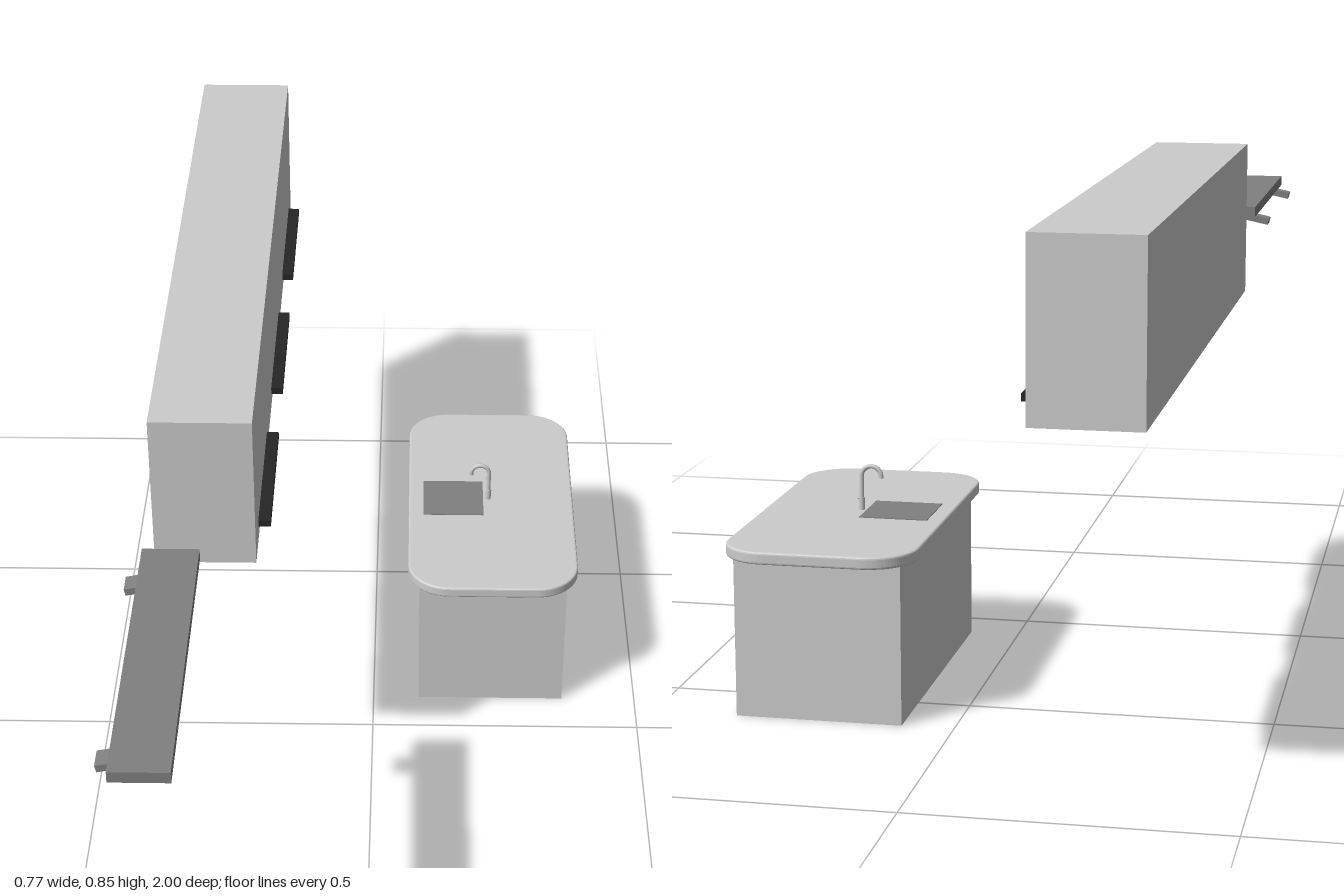
import * as THREE from 'three';

const mat = (name, color) => {
  const m = new THREE.MeshStandardMaterial({ color });
  m.name = name;
  return m;
};

export function createModel() {
  const light = mat('light grey', 0xcccccc);
  const grey = mat('mid grey', 0x808080);
  const dark = mat('near black', 0x262626);
  const model = new THREE.Group();
  model.name = 'kitchen';

  const add = (parent, name, geometry, material, x = 0, y = 0, z = 0) => {
    const mesh = new THREE.Mesh(geometry, material);
    mesh.name = name;
    mesh.position.set(x, y, z);
    parent.add(mesh);
    return mesh;
  };
  // Box given by its limits on each axis
  const box = (parent, name, material, [x0, x1], [y0, y1], [z0, z1]) =>
    add(parent, name, new THREE.BoxGeometry(x1 - x0, y1 - y0, z1 - z0), material,
      (x0 + x1) / 2, (y0 + y1) / 2, (z0 + z1) / 2);
  const group = (name) => {
    const g = new THREE.Group();
    g.name = name;
    model.add(g);
    return g;
  };

  // Three wall cabinets in a row, each with a bar handle
  const cabinets = group('wallCabinets');
  const width = 0.43;
  for (let i = 0; i < 3; i++) {
    const z = -1 + i * width, mid = z + width / 2;
    box(cabinets, 'cabinet', light, [-0.36, -0.19], [0.579, 0.854], [z, z + width]);
    box(cabinets, 'cabinetHandle', dark, [-0.19, -0.169], [0.601, 0.613], [mid - 0.14, mid + 0.14]);
  }

  // Wall shelf on two tilted brackets
  const shelf = group('wallShelf');
  box(shelf, 'shelfBoard', grey, [-0.36, -0.268], [0.698, 0.717], [0.449, 1]);
  for (const z of [0.506, 0.937]) {
    const bracket = add(shelf, 'shelfBracket', new THREE.BoxGeometry(0.1, 0.012, 0.035), grey, -0.333, 0.6945, z);
    bracket.rotation.z = 0.21;
  }

  // Island body
  const island = group('island');
  const cx = 0.223, cz = -0.353;
  box(island, 'islandBody', light, [0.086, 0.361], [0, 0.266], [cz - 0.267, cz + 0.267]);

  // Rounded worktop with softly bevelled edges
  const b = 0.004, w = 0.159 - b, d = 0.305 - b, r = 0.075;
  const outline = new THREE.Shape();
  outline.absarc(w - r, d - r, r, 0, Math.PI / 2);
  outline.absarc(-w + r, d - r, r, Math.PI / 2, Math.PI);
  outline.absarc(-w + r, -d + r, r, Math.PI, Math.PI * 1.5);
  outline.absarc(w - r, -d + r, r, Math.PI * 1.5, Math.PI * 2);
  const top = new THREE.ExtrudeGeometry(outline, {
    depth: 0.0205 - 2 * b, bevelSize: b, bevelThickness: b, bevelSegments: 3, curveSegments: 12,
  });
  top.rotateX(-Math.PI / 2);
  add(island, 'worktop', top, light, cx, 0.265 + b, cz);

  // Square sink set into the worktop
  box(island, 'sink', grey, [0.092, 0.208], [0.283, 0.287], [-0.406, -0.29]);

  // Swan-neck tap with base, nozzle and side lever
  const tap = group('tap');
  tap.position.set(0.201, 0.285, -0.349);
  const neck = new THREE.CurvePath();
  const V = (x, y) => new THREE.Vector3(x, y, 0);
  const arc = [];
  for (let i = 0; i <= 12; i++) {
    const a = (i / 12) * Math.PI;
    arc.push(V(0.017 * Math.cos(a), 0.059 + 0.017 * Math.sin(a)));
  }
  neck.add(new THREE.LineCurve3(V(0.017, 0), arc[0]));
  neck.add(new THREE.CatmullRomCurve3(arc));
  add(tap, 'tapNeck', new THREE.TubeGeometry(neck, 48, 0.004, 12), light);
  add(tap, 'tapBase', new THREE.CylinderGeometry(0.005, 0.005, 0.022, 16), light, 0.017, 0.011, 0);
  add(tap, 'tapNozzle', new THREE.CylinderGeometry(0.0042, 0.0042, 0.004, 16), light, -0.017, 0.058, 0);
  const lever = add(tap, 'tapLever', new THREE.CylinderGeometry(0.002, 0.002, 0.008, 10), light, 0.02, 0.02, 0);
  lever.rotation.z = Math.PI / 2;

  return model;
}
